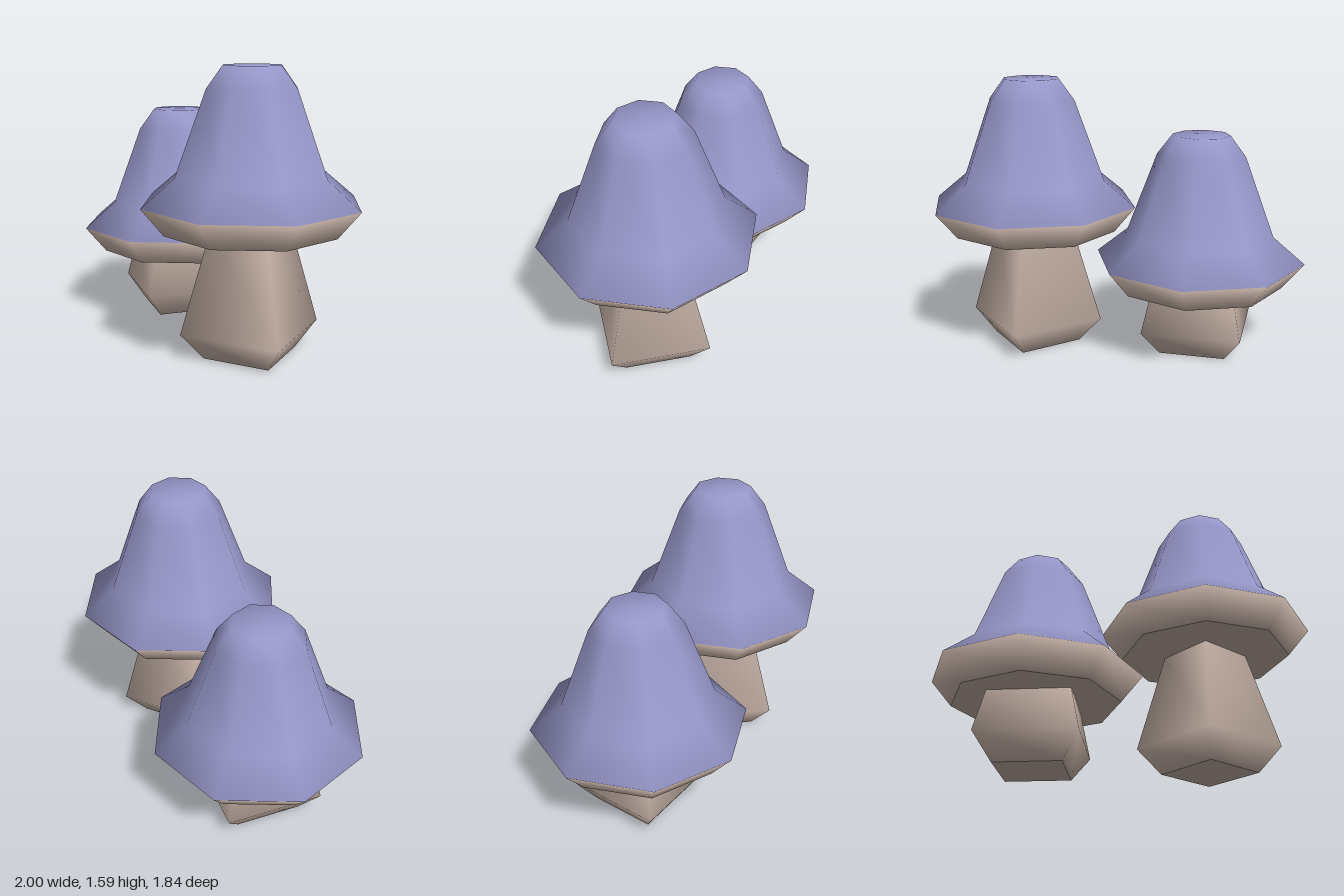
import * as THREE from 'three';

const capColor = new THREE.MeshStandardMaterial({ color: 0x9696c9 });
capColor.name = 'lavender cap';
const fleshColor = new THREE.MeshStandardMaterial({ color: 0xc4b0a5 });
fleshColor.name = 'beige flesh';

const lathe = (profile, sides) =>
  new THREE.LatheGeometry(profile.map(([r, y]) => new THREE.Vector2(r, y)), sides);

function addMesh(group, name, geometry, material) {
  const mesh = new THREE.Mesh(geometry, material);
  mesh.name = name;
  group.add(mesh);
  return mesh;
}

// Eight-sided cap; its lowest band is flesh coloured, the rest lavender
function capGeometry() {
  const profile = [[0.49, 0], [0.615, 0.153], [0.43, 0.305], [0.257, 0.765], [0.166, 0.885], [0, 0.885]];
  const sides = 8;
  const geometry = lathe(profile, sides);
  const perSide = (profile.length - 1) * 6;
  for (let i = 0; i < sides; i++) {
    geometry.addGroup(i * perSide, 6, 1);
    geometry.addGroup(i * perSide + 6, perSide - 6, 0);
  }
  return geometry;
}

function createMushroom(name, x, z, capBase, stemTopRadius, stemTurn) {
  const mushroom = new THREE.Group();
  mushroom.name = name;
  mushroom.position.set(x, 0, z);

  // Four-sided stem, bulging near the ground
  const stem = new THREE.Group();
  stem.name = 'stem';
  stem.rotation.y = stemTurn;
  addMesh(stem, 'stemSides', lathe([[0.27, 0], [0.405, 0.15], [stemTopRadius, capBase]], 4), fleshColor);
  addMesh(stem, 'stemBase', lathe([[0, 0], [0.27, 0]], 4), fleshColor);
  mushroom.add(stem);

  // Cap and the flat disc below it
  addMesh(mushroom, 'cap', capGeometry(), [capColor, fleshColor]).position.y = capBase;
  addMesh(mushroom, 'capUnderside', lathe([[0, 0], [0.49, 0]], 8), fleshColor).position.y = capBase;
  return mushroom;
}

export function createModel() {
  const model = new THREE.Group();
  model.name = 'mushrooms';
  model.add(
    createMushroom('tallMushroom', 0.385, 0.305, 0.705, 0.237, Math.PI / 4),
    createMushroom('shortMushroom', -0.385, -0.305, 0.397, 0.333, 0)
  );
  return model;
}
